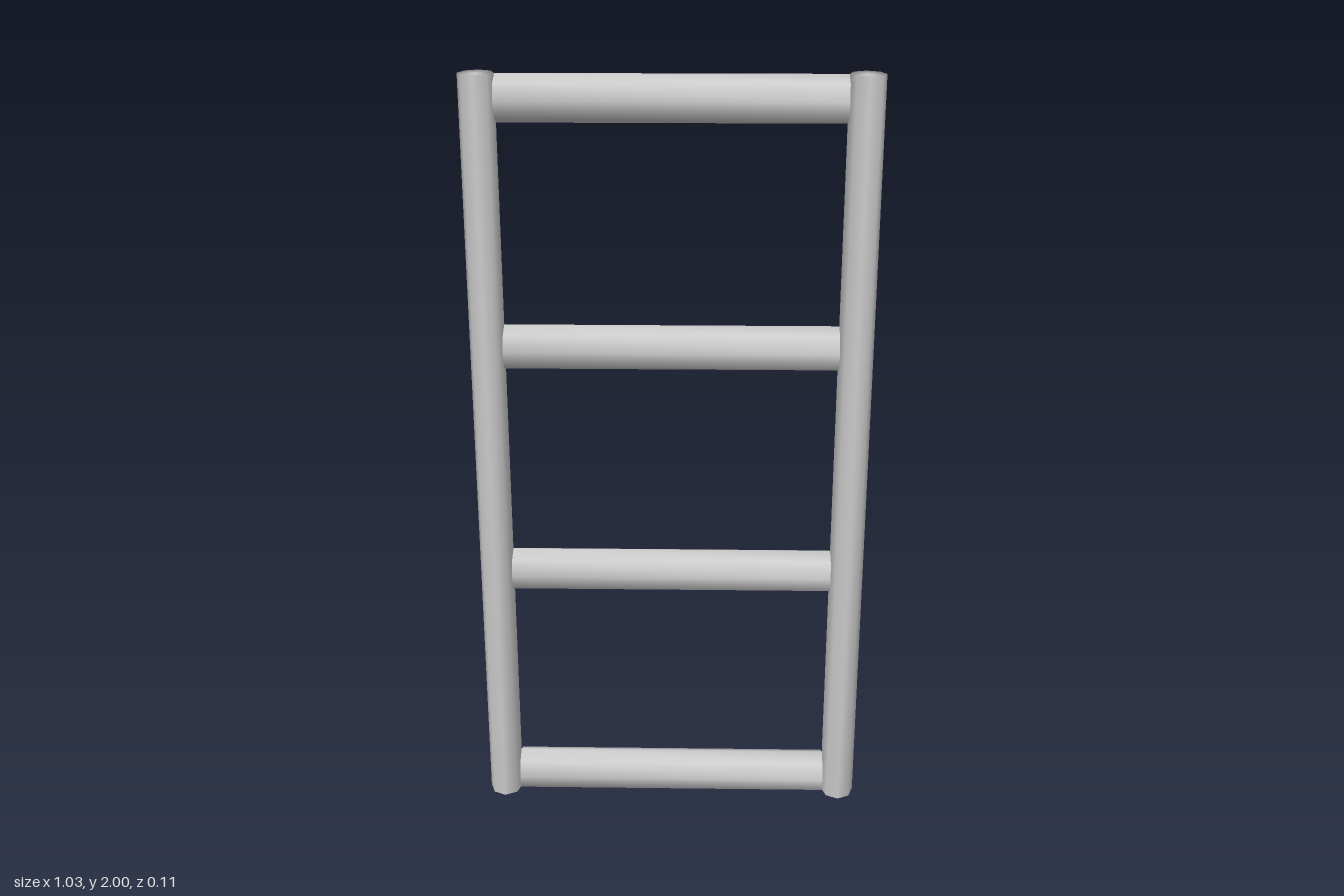
import * as THREE from 'three';
import { mergeVertices } from 'three/addons/utils/BufferGeometryUtils.js';

// Eight-sided bar along y with normals shared between sides and caps
function barGeometry(rx, rz, length) {
  const raw = new THREE.CylinderGeometry(1, 1, length, 8);
  raw.scale(rx, 1, rz);
  raw.deleteAttribute('uv');
  raw.deleteAttribute('normal');
  const bar = mergeVertices(raw);
  bar.computeVertexNormals();
  return bar;
}

export function createModel() {
  const ladder = new THREE.Group();
  ladder.name = 'ladder';
  const material = new THREE.MeshStandardMaterial({ color: 0xcccccc });

  // Upright rails, slightly deeper than wide
  const railGeometry = barGeometry(0.045, 0.055, 2);
  for (const side of [1, -1]) {
    const rail = new THREE.Mesh(railGeometry, material);
    rail.name = side > 0 ? 'leftRail' : 'rightRail';
    rail.position.set(side * 0.47, 1, 0);
    ladder.add(rail);
  }

  // Evenly spaced rungs, the end ones flush with the rail ends
  const rungCount = 4;
  const rungRadius = 0.059;
  const rungGeometry = barGeometry(rungRadius, 0.055, 0.85).rotateZ(Math.PI / 2);
  for (let i = 0; i < rungCount; i++) {
    const rung = new THREE.Mesh(rungGeometry, material);
    rung.name = `rung${i + 1}`;
    rung.position.y = THREE.MathUtils.lerp(rungRadius, 2 - rungRadius, i / (rungCount - 1));
    ladder.add(rung);
  }

  return ladder;
}
